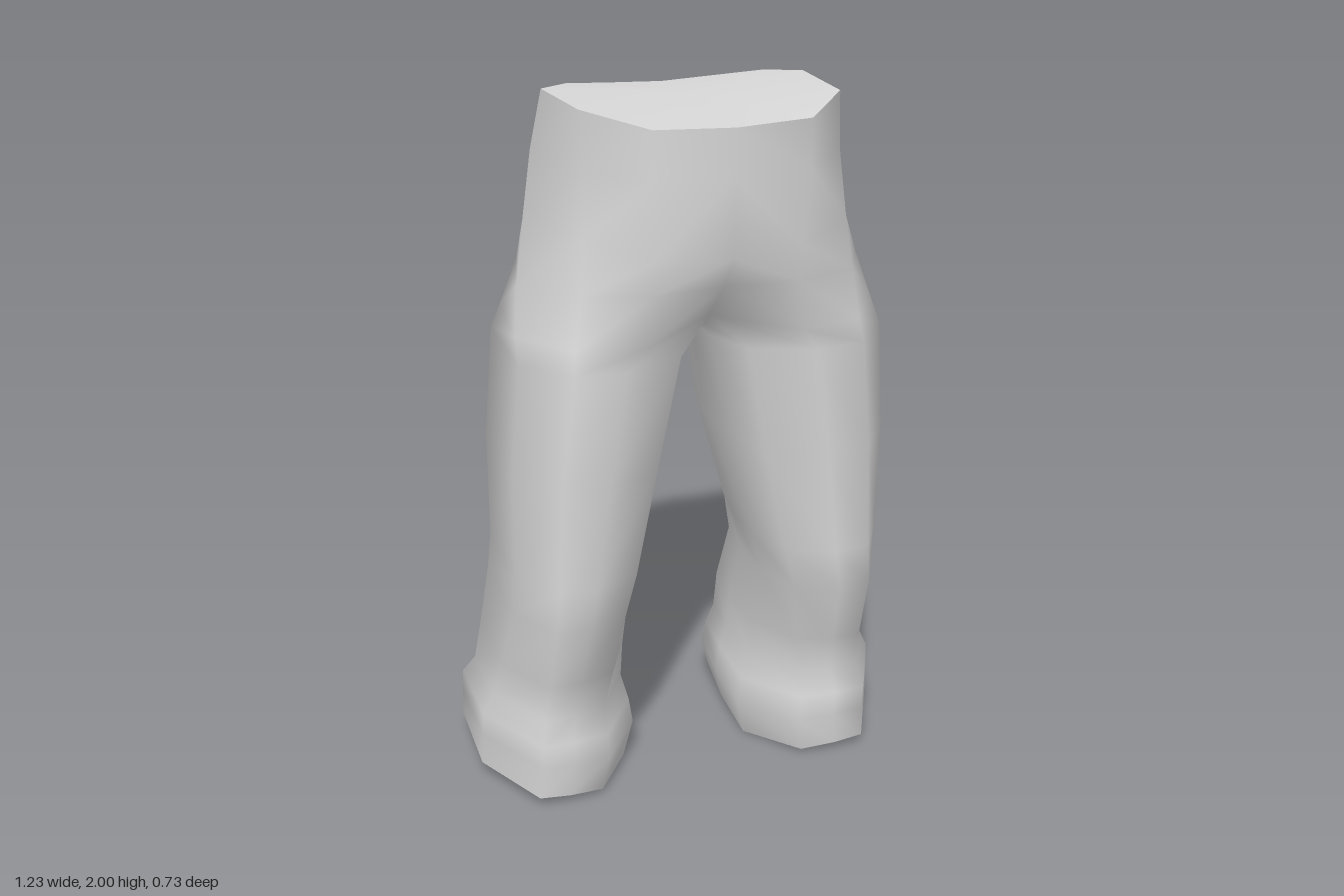
import * as THREE from 'three';
import { mergeVertices } from 'three/addons/utils/BufferGeometryUtils.js';

const V = (x, y, z) => new THREE.Vector3(x, y, z);
const { lerp } = THREE.MathUtils;

// Half rings run counter-clockwise from above: centre front, outer side, centre back.
const torsoRows = [
  [[0, 1.965, 0.365], [0.21, 1.97, 0.345], [0.35, 2, 0.195], [0.367, 2, -0.085], [0.28, 1.995, -0.155], [0.15, 1.98, -0.2], [0, 1.975, -0.195]],
  [[0, 1.84, 0.36], [0.21, 1.84, 0.342], [0.35, 1.85, 0.205], [0.405, 1.85, -0.07], [0.35, 1.83, -0.205], [0.16, 1.84, -0.245], [0, 1.84, -0.237]],
  [[0, 1.63, 0.355], [0.2, 1.64, 0.338], [0.36, 1.68, 0.235], [0.44, 1.67, -0.04], [0.375, 1.68, -0.24], [0.18, 1.68, -0.285], [0, 1.68, -0.28]],
  [[0, 1.54, 0.29], [0.2, 1.54, 0.312], [0.375, 1.54, 0.255], [0.483, 1.52, 0.04], [0.42, 1.52, -0.2], [0.2, 1.47, -0.275], [0, 1.48, -0.26]],
  // Crotch row: the last two points close the ring between the legs
  [[0, 1.43, 0.18], [0.22, 1.4, 0.3], [0.395, 1.4, 0.265], [0.507, 1.4, 0.1], [0.475, 1.4, -0.185], [0.25, 1.37, -0.215], [0, 1.4, -0.2], [0, 1.385, -0.08], [0, 1.385, 0.06]],
].map(row => row.map(p => V(...p)));

// Leg sections as [inner to outer, back to front] fractions: round thigh and six-sided hem
const thigh = [[0.12, 0.86], [0.48, 1], [0.77, 0.97], [1, 0.69], [0.98, 0.01], [0.62, 0], [0.06, 0], [0, 0.28], [0, 0.6]];
const hem = [[0.28, 0.97], [0.52, 1], [0.73, 1], [1, 0.52], [1, 0], [0.53, 0], [0.03, 0], [0, 0.3], [0, 0.65]];

// y, inner x, outer x, front z, inner back z, outer back z, blend from thigh to hem, hem tilt
const legRows = [
  [1.34, 0.038, 0.513, 0.298, -0.21, -0.185, 0, 0],
  [1.03, 0.1, 0.538, 0.285, -0.28, -0.19, 0, 0],
  [0.72, 0.17, 0.538, 0.275, -0.19, -0.185, 0.1, 0],
  [0.6, 0.2, 0.543, 0.27, -0.22, -0.21, 0.2, 0],
  [0.4, 0.2, 0.56, 0.2, -0.315, -0.255, 0.6, 0],
  [0.28, 0.2, 0.577, 0.165, -0.335, -0.265, 0.9, 0],
  [0.2, 0.18, 0.61, 0.188, -0.35, -0.29, 1, 0.3],
  [0.12, 0.167, 0.613, 0.185, -0.355, -0.29, 1, 0.5],
  [0, 0.193, 0.617, 0.17, -0.367, -0.29, 1, 1],
].map(([y, xi, xo, zf, zbIn, zbOut, t, tilt]) => thigh.map(([u0, v0], i) => {
  const u = lerp(u0, hem[i][0], t);
  const v = lerp(v0, hem[i][1], t);
  const lift = tilt * (0.045 * u + (0.11 - 0.04 * u) * Math.max(0, 0.5 - v));
  return V(lerp(xi, xo, u), y + lift, lerp(lerp(zbIn, zbOut, u), zf, v));
}));

const mirror = p => V(-p.x, p.y, p.z);

// Joins consecutive rings with triangles
function loft(rows, closed) {
  const out = [];
  for (let r = 0; r + 1 < rows.length; r++) {
    const top = rows[r], low = rows[r + 1];
    const n = closed ? top.length : 7;
    for (let i = 0; i < (closed ? n : n - 1); i++) {
      const j = (i + 1) % n;
      out.push(top[i], low[i], low[j], top[i], low[j], top[j]);
    }
  }
  return out;
}

// Mirrors triangles across x and reverses their corner order
function mirrorTriangles(tris) {
  const out = [];
  for (let i = 0; i < tris.length; i += 3) {
    out.push(mirror(tris[i]), mirror(tris[i + 2]), mirror(tris[i + 1]));
  }
  return out;
}

// Fan around the middle of a ring
function fan(ring) {
  const c = V(0, 0, 0);
  ring.forEach(p => c.add(p));
  c.divideScalar(ring.length);
  return ring.flatMap((p, i) => [c, p, ring[(i + 1) % ring.length]]);
}

function makeMesh(name, tris, material) {
  const geometry = mergeVertices(new THREE.BufferGeometry().setFromPoints(tris), 1e-4);
  geometry.computeVertexNormals();
  const mesh = new THREE.Mesh(geometry, material);
  mesh.name = name;
  return mesh;
}

export function createModel() {
  const group = new THREE.Group();
  group.name = 'trousers';
  const cloth = new THREE.MeshStandardMaterial({ color: 0xd8d8d8 });
  cloth.name = 'grey cloth';

  // Smooth cloth surface, hips and both legs welded together
  const half = [
    ...loft(torsoRows, false),
    ...loft([torsoRows[torsoRows.length - 1], ...legRows], true),
  ];
  group.add(makeMesh('hipsAndLegs', [...half, ...mirrorTriangles(half)], cloth));

  // Flat waist cap
  const waist = torsoRows[0];
  const waistRing = [...waist, ...waist.slice(1, -1).reverse().map(mirror)];
  group.add(makeMesh('waistCap', fan(waistRing), cloth));

  // Flat hem caps, facing down
  const hemCap = fan([...legRows[legRows.length - 1]].reverse());
  group.add(makeMesh('leftHemCap', hemCap, cloth));
  group.add(makeMesh('rightHemCap', mirrorTriangles(hemCap), cloth));
  return group;
}
